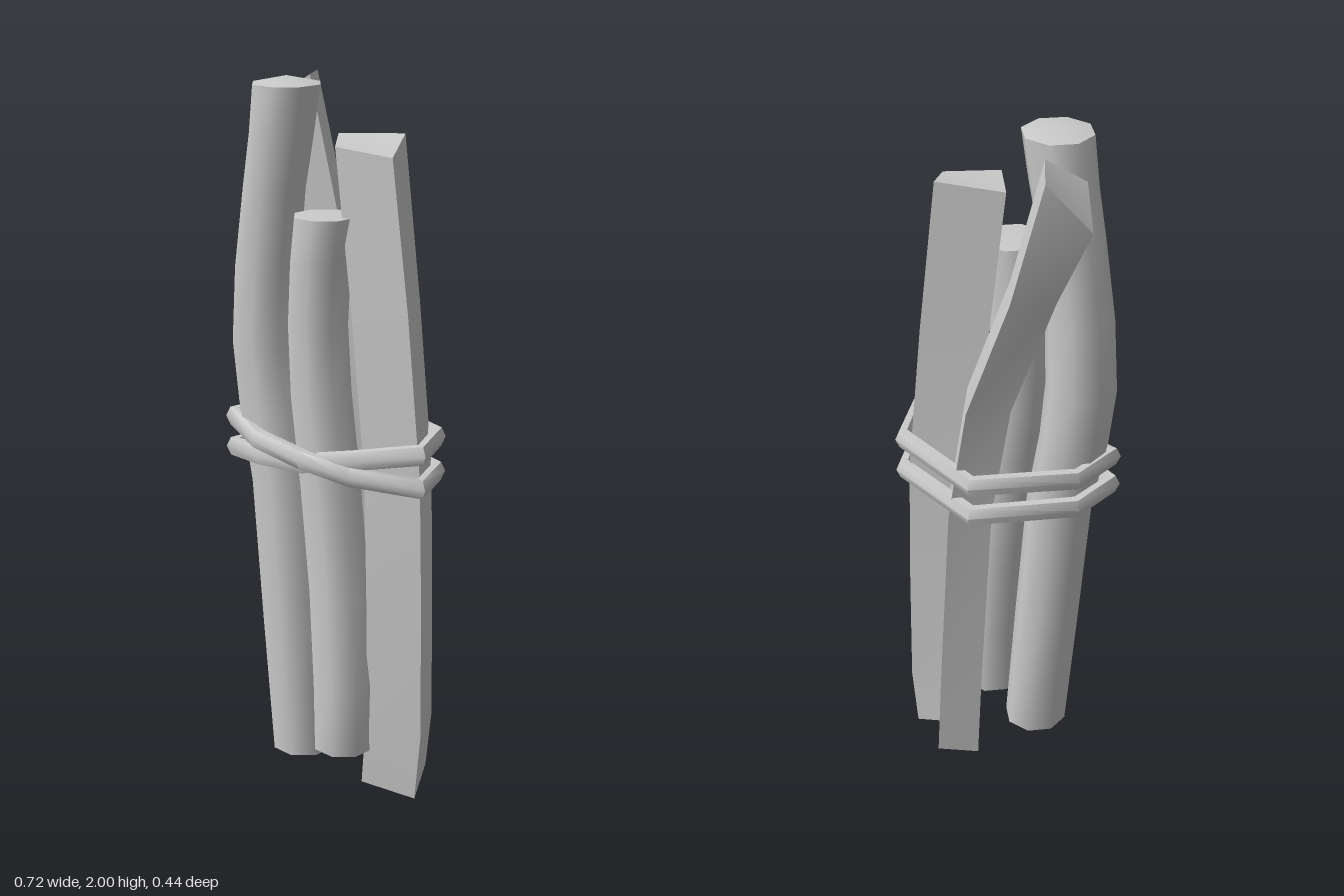
import * as THREE from 'three';
import { toCreasedNormals } from 'three/addons/utils/BufferGeometryUtils.js';

const material = new THREE.MeshStandardMaterial({ color: 0xcccccc });

// Skin a list of rings (arrays of [x, y, z], counter-clockwise against the path).
function loft(name, rings, { closed = false, crease = 0.9, bulge = 0 } = {}) {
  const pos = [];
  const tri = (a, b, c) => pos.push(...a, ...b, ...c);
  const n = rings[0].length;
  const spans = closed ? rings.length : rings.length - 1;
  for (let i = 0; i < spans; i++) {
    const lo = rings[i], hi = rings[(i + 1) % rings.length];
    for (let j = 0; j < n; j++) {
      const k = (j + 1) % n;
      tri(lo[j], lo[k], hi[k]);
      tri(lo[j], hi[k], hi[j]);
    }
  }
  if (!closed) {
    const middle = (ring, lift) => [0, 1, 2].map(
      (a) => ring.reduce((s, p) => s + p[a], 0) / n + (a === 1 ? lift : 0));
    const first = rings[0], last = rings[rings.length - 1];
    const bottom = middle(first, 0), top = middle(last, bulge);
    for (let j = 0; j < n; j++) {
      const k = (j + 1) % n;
      tri(first[k], first[j], bottom);
      tri(last[j], last[k], top);
    }
  }
  const geo = new THREE.BufferGeometry();
  geo.setAttribute('position', new THREE.Float32BufferAttribute(pos, 3));
  const mesh = new THREE.Mesh(toCreasedNormals(geo, crease), material);
  mesh.name = name;
  return mesh;
}

// Round stick: path rows are [x, y, z, radius].
function roundStick(name, path, bulge) {
  const rings = path.map(([x, y, z, r]) => Array.from({ length: 8 }, (_, j) => {
    const a = (j + 0.5) * Math.PI / 4;
    return [x + r * 1.04 * Math.cos(a), y, z - r * 1.04 * Math.sin(a)];
  }));
  return loft(name, rings, { bulge });
}

// Split stick: four corner offsets [x, z] carried along [x, y, z], with slanted ends.
function splitStick(name, corners, path, bottomY, topY) {
  const rings = path.map(([x, y, z], i) => corners.map(([dx, dz], j) => {
    const h = i === 0 ? bottomY[j] : i === path.length - 1 ? topY[j] : y;
    return [x + dx, h, z + dz];
  }));
  return loft(name, rings, { crease: 0.5 });
}

// One rope wound twice around the bundle, crossing itself at the front.
function rope() {
  const plan = [[0.33, 0.035], [0.255, -0.115], [-0.05, -0.195], [-0.26, 0.0],
    [-0.27, 0.155], [-0.13, 0.185], [0.04, 0.185], [0.18, 0.145]];
  const heights = [1.035, 1.035, 1.035, 1.04, 1.04, 1.015, 0.995, 0.97,
    0.94, 0.935, 0.94, 0.95, 0.95, 0.965, 0.98, 1.01];
  const n = plan.length;
  const rings = heights.map((y, i) => {
    const [x, z] = plan[i % n];
    const before = plan[(i + n - 1) % n], after = plan[(i + 1) % n];
    const out = new THREE.Vector2(before[1] - after[1], after[0] - before[0]).normalize();
    const shift = i > 4 && i < 8 ? 0.012 : 0;
    return Array.from({ length: 6 }, (_, j) => {
      const a = j * Math.PI / 3;
      const d = shift + 0.024 * Math.cos(a);
      return [x + out.x * d, y - 0.03 * Math.sin(a), z + out.y * d];
    });
  });
  return loft('rope', rings, { closed: true, crease: 1.1 });
}

export function createModel() {
  const group = new THREE.Group();
  group.name = 'stickBundle';

  group.add(roundStick('tallRoundStick', [
    [-0.065, 0.07, 0.09, 0.088], [-0.1, 0.45, 0.09, 0.09], [-0.14, 0.88, 0.09, 0.09],
    [-0.185, 1.1, 0.09, 0.093], [-0.205, 1.27, 0.09, 0.095], [-0.195, 1.48, 0.09, 0.092],
    [-0.165, 1.7, 0.09, 0.088], [-0.135, 1.85, 0.09, 0.09], [-0.115, 1.98, 0.09, 0.093],
  ], 0.02));

  group.add(roundStick('shortRoundStick', [
    [0.108, 0.13, 0.1, 0.085], [0.108, 0.33, 0.1, 0.088], [0.08, 0.6, 0.09, 0.086],
    [0.045, 0.9, 0.088, 0.086], [0.01, 1.15, 0.088, 0.086], [-0.002, 1.35, 0.088, 0.084],
    [0.008, 1.52, 0.088, 0.084], [0.025, 1.645, 0.088, 0.084],
  ], 0.005));

  // Corner order: left of the picture plane, front, right, back.
  group.add(splitStick('frontSplitStick',
    [[-0.135, -0.025], [-0.025, 0.1], [0.12, 0.035], [0.04, -0.1]],
    [[0.19, 0.02, -0.015], [0.21, 0.2, -0.015], [0.205, 0.6, -0.015], [0.195, 0.95, -0.015],
      [0.145, 1.4, -0.015], [0.085, 1.83, -0.015]],
    [0.05, 0.025, 0, 0.03], [1.84, 1.83, 1.81, 1.85]));

  group.add(splitStick('backSplitStick',
    [[-0.085, -0.015], [0.015, 0.1], [0.085, 0.015], [0, -0.1]],
    [[0.09, 0.03, -0.09], [0.075, 0.3, -0.09], [0.035, 0.9, -0.09], [-0.03, 1.25, -0.09],
      [-0.175, 1.62, -0.09], [-0.28, 1.93, -0.09]],
    [0.01, 0.1, 0.07, 0.035], [1.84, 1.91, 1.98, 1.975]));

  group.add(rope());
  return group;
}
